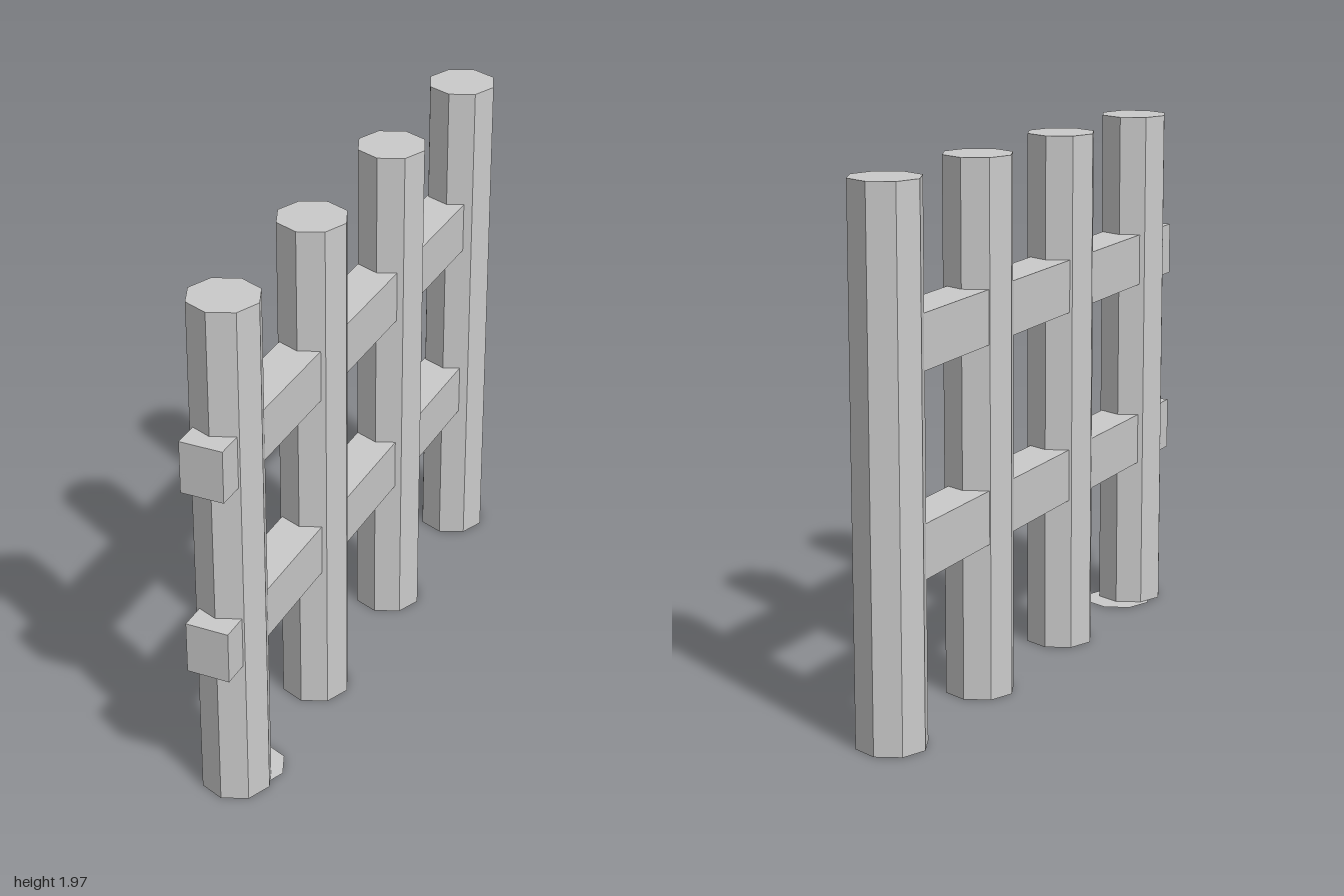
import * as THREE from 'three';

export function createModel() {
  const model = new THREE.Group();
  const wood = new THREE.MeshStandardMaterial({ color: 0xcccccc, flatShading: true });
  const radius = 0.13, postHeight = 1.965, turn = Math.PI / 12;

  // Four eight-sided posts on a diagonal line
  const postGeometry = new THREE.CylinderGeometry(radius, radius, postHeight, 8);
  const postSpots = [[-0.483, 0.78], [-0.15, 0.234], [0.188, -0.327], [0.52, -0.873]];
  postSpots.forEach(([x, z], i) => {
    const post = new THREE.Mesh(postGeometry, wood);
    post.name = `post${i + 1}`;
    post.position.set(x, postHeight / 2, z);
    post.rotation.y = turn;
    model.add(post);
  });

  // Two rails: stick out past the first post, end inside the last one
  const start = new THREE.Vector2(-0.58, 0.955), end = new THREE.Vector2(0.498, -0.87);
  const along = end.clone().sub(start);
  const railGeometry = new THREE.BoxGeometry(0.161, 0.197, along.length());
  [['lowerRail', 0.683], ['upperRail', 1.407]].forEach(([name, y]) => {
    const rail = new THREE.Mesh(railGeometry, wood);
    rail.name = name;
    rail.position.set((start.x + end.x) / 2, y, (start.y + end.y) / 2);
    rail.rotation.y = Math.atan2(along.x, along.y);
    model.add(rail);
  });

  // Flat eight-sided plate on the ground beside the first post, facing up only
  const plateGeometry = new THREE.CircleGeometry(radius, 8);
  plateGeometry.rotateX(-Math.PI / 2);
  const plate = new THREE.Mesh(plateGeometry, wood);
  plate.name = 'groundPlate';
  plate.position.set(-0.43, 0.001, 0.71);
  plate.rotation.y = turn;
  model.add(plate);

  return model;
}
